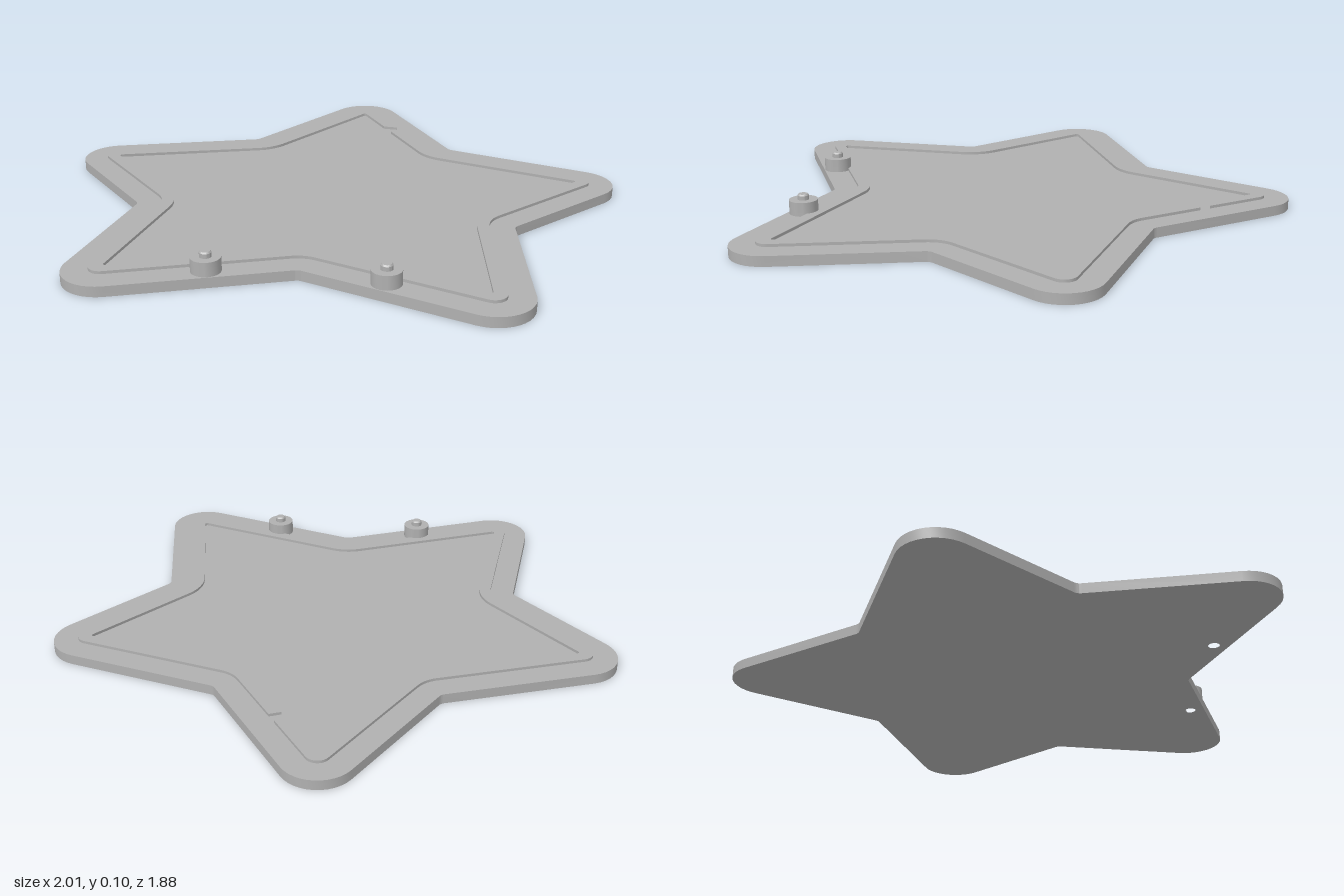
import * as THREE from 'three';
import { toCreasedNormals } from 'three/addons/utils/BufferGeometryUtils.js';

const PLATE_TOP = 0.036, RIDGE_TOP = 0.046;
const TIP_RADIUS = 0.13, VALLEY_RADIUS = 0.03;

// Sharp star corners [x, z], valley and tip in turn, ending at the rear tip
const half = [[0.385, -0.447], [1.108, -0.226], [0.662, 0.273], [0.775, 1.0]];
const corners = [
  ...half, [0, 0.717],
  ...half.slice().reverse().map(([x, z]) => [-x, z]), [0, -1.058],
].map(([x, z]) => new THREE.Vector2(x, -z));

// Rounded star outline, moved inwards by inset
function starOutline(inset, segments = 12) {
  const points = [];
  corners.forEach((p, i) => {
    const isTip = i % 2 === 1;
    const toPrev = corners.at(i - 1).clone().sub(p).normalize();
    const toNext = corners[(i + 1) % corners.length].clone().sub(p).normalize();
    const bisector = toPrev.clone().add(toNext).normalize();
    const sinHalf = Math.abs(bisector.cross(toPrev));
    const radius = isTip ? Math.max(TIP_RADIUS - inset, 0.008) : VALLEY_RADIUS + inset;
    const reach = (radius + (isTip ? inset : -inset)) / sinHalf;
    const centre = p.clone().addScaledVector(bisector, reach);
    // Angle from the arc centre to the point where it meets each edge
    const angleTo = (u) => u.clone().multiplyScalar(bisector.dot(u)).sub(bisector).angle();
    const start = angleTo(toPrev);
    let sweep = angleTo(toNext) - start;
    if (sweep > Math.PI) sweep -= 2 * Math.PI;
    if (sweep < -Math.PI) sweep += 2 * Math.PI;
    for (let k = 0; k <= segments; k++) {
      const a = start + sweep * k / segments;
      points.push(new THREE.Vector2(centre.x + radius * Math.cos(a), centre.y + radius * Math.sin(a)));
    }
  });
  return points;
}

// Opens an outline on its closing edge, leaving a gap between two z positions
function openOutline(inset, zStart, zEnd) {
  const points = starOutline(inset);
  const first = points[0], last = points.at(-1);
  const at = (z) => first.clone().lerp(last, (-z - first.y) / (last.y - first.y));
  return [at(zStart), ...points, at(zEnd)];
}

// Upright extrusion from y = bottom to y = top
function slab(shape, bottom, top) {
  const geometry = new THREE.ExtrudeGeometry(shape, {
    depth: top - bottom, bevelEnabled: false, curveSegments: 24,
  });
  geometry.rotateX(-Math.PI / 2).translate(0, bottom, 0);
  return toCreasedNormals(geometry, 0.6);
}

export function createModel() {
  const model = new THREE.Group();
  model.name = 'starLid';
  const grey = new THREE.MeshStandardMaterial({ color: 0xb0b0b0 });
  grey.name = 'grey';
  const add = (name, geometry) => {
    const mesh = new THREE.Mesh(geometry, grey);
    mesh.name = name;
    model.add(mesh);
    return mesh;
  };

  const pegX = 0.285, pegZ = 0.765;

  // Star plate with a socket under each peg
  const plate = new THREE.Shape(starOutline(0));
  for (const side of [-1, 1]) {
    plate.holes.push(new THREE.Path().absarc(side * pegX, -pegZ, 0.02, 0, Math.PI * 2, true));
  }
  add('starPlate', slab(plate, 0, PLATE_TOP));

  // Thin locating ridge with a small break near the rear tip
  const outer = openOutline(0.087, -0.615, -0.65);
  const inner = openOutline(0.13, -0.6, -0.655);
  add('ridge', slab(new THREE.Shape([...outer, ...inner.reverse()]), PLATE_TOP, RIDGE_TOP));

  // Stepped pegs near the front valley
  const profile = [
    [0, PLATE_TOP], [0.05, PLATE_TOP], [0.05, 0.085], [0.02, 0.085],
    [0.02, 0.1], [0.016, 0.105], [0, 0.105],
  ].map(([r, y]) => new THREE.Vector2(r, y));
  const pegGeometry = toCreasedNormals(new THREE.LatheGeometry(profile, 32), 0.5);
  for (const side of [-1, 1]) {
    add(side > 0 ? 'leftPeg' : 'rightPeg', pegGeometry).position.set(side * pegX, 0, pegZ);
  }

  return model;
}
